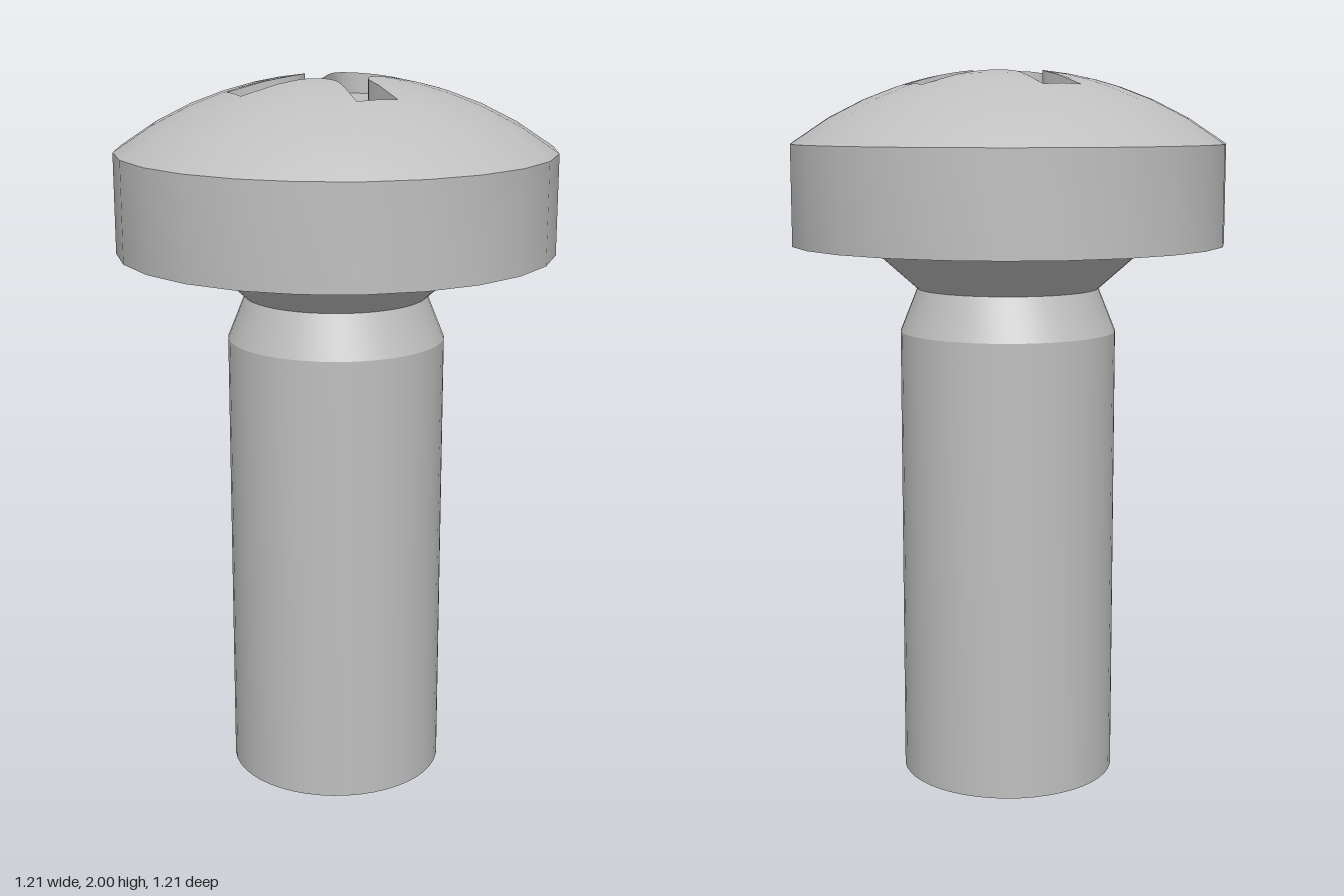
import * as THREE from 'three';
import { toCreasedNormals } from 'three/addons/utils/BufferGeometryUtils.js';

const SIDES = 24, STEP = (2 * Math.PI) / SIDES;
const DOME_R = 1.0, DOME_Y = 2.004 - DOME_R, FLOOR_Y = 1.943, PATCH = 0.31;
const domeY = (r) => DOME_Y + Math.sqrt(DOME_R * DOME_R - r * r);

// Ratio of a 24-sided ring's radius to its corner radius at angle t
const ringFactor = (t) => {
  const k = ((t % STEP) + STEP) % STEP;
  return Math.cos(STEP / 2) / Math.cos(k - STEP / 2);
};

// Edge distance of the cross recess, for an angle inside one eighth of it
function crossRadius(t) {
  const deg = t * 180 / Math.PI;
  if (deg < 11.13) return 0.29 / Math.cos(t);                          // arm end
  if (deg < 18.4) return 0.0353 / (Math.tan(t) - 0.075) / Math.cos(t); // tapered side
  const c = 0.135, q = 0.09;                                           // rounded corner
  const b = c * Math.SQRT2 * Math.cos(Math.PI / 4 - t);
  return b - Math.sqrt(b * b - 2 * c * c + q * q);
}

// The whole recess outline as [angle, radius] pairs
function crossOutline() {
  const eighth = [0, 11.12, 15, 18.4, 22, 26, 30, 35, 40, 45];
  const quarter = [...eighth, ...eighth.slice(1, -1).reverse().map((d) => 90 - d)];
  const out = [];
  for (let k = 0; k < 4; k++) {
    for (const d of quarter) {
      const folded = d > 45 ? 90 - d : d;
      out.push([(d + 90 * k) * Math.PI / 180, crossRadius(folded * Math.PI / 180)]);
    }
  }
  return out;
}

// Closed loops of points joined into a skin
function loft(loops) {
  const n = loops[0].length, index = [];
  for (let j = 0; j < loops.length - 1; j++) {
    for (let i = 0; i < n; i++) {
      const a = j * n + i, a1 = j * n + (i + 1) % n;
      index.push(a, a1, a + n, a1, a1 + n, a + n);
    }
  }
  const g = new THREE.BufferGeometry();
  g.setAttribute('position', new THREE.Float32BufferAttribute(loops.flat(2), 3));
  g.setIndex(index);
  g.computeVertexNormals();
  return g;
}

// Smooth normals of the domed top
function domeNormals(g) {
  const p = g.attributes.position, v = new THREE.Vector3();
  for (let i = 0; i < p.count; i++) {
    v.fromBufferAttribute(p, i);
    v.y -= DOME_Y;
    v.normalize();
    g.attributes.normal.setXYZ(i, v.x, v.y, v.z);
  }
  return g;
}

const lathe = (pts, sides) =>
  new THREE.LatheGeometry(pts.map(([r, y]) => new THREE.Vector2(r, y)), sides);

export function createModel() {
  const model = new THREE.Group();
  model.name = 'machineScrew';
  const steel = new THREE.MeshStandardMaterial({ color: 0xbfbfbf });
  steel.name = 'steel';
  const add = (name, geometry) => {
    const mesh = new THREE.Mesh(geometry, steel);
    mesh.name = name;
    model.add(mesh);
  };

  // Shank with its neck and the flare under the head
  add('shank', toCreasedNormals(lathe(
    [[0, 0], [0.303, 0], [0.303, 1.28], [0.255, 1.4], [0.396, 1.525]], 48), 0.3));

  // Flat underside and straight rim of the head
  add('headRim', toCreasedNormals(lathe(
    [[0.37, 1.525], [0.605, 1.525], [0.605, domeY(0.605)]], SIDES), 0.3));

  // Outer part of the dome
  add('domeOuter', domeNormals(lathe(
    [0.605, 0.5, 0.4, PATCH].map((r) => [r, domeY(r)]), SIDES)));

  // Inner part of the dome, running up to the recess
  const outline = crossOutline();
  const onDome = (t, r) => [r * Math.cos(t), domeY(r / ringFactor(t)), r * Math.sin(t)];
  const domeLoops = [0, 0.33, 0.67, 1].map((s) => outline.map(([t, r]) =>
    onDome(t, r + (PATCH * ringFactor(t) - r) * s)));
  add('domeInner', domeNormals(loft(domeLoops)));

  // Walls and floor of the cross recess
  const top = domeLoops[0];
  const floor = top.map(([x, , z]) => [x, FLOOR_Y, z]);
  add('recessWalls', toCreasedNormals(loft([floor, top]), 0.5));
  add('recessFloor', loft([floor.map(() => [0, FLOOR_Y, 0]), floor]));

  return model;
}
